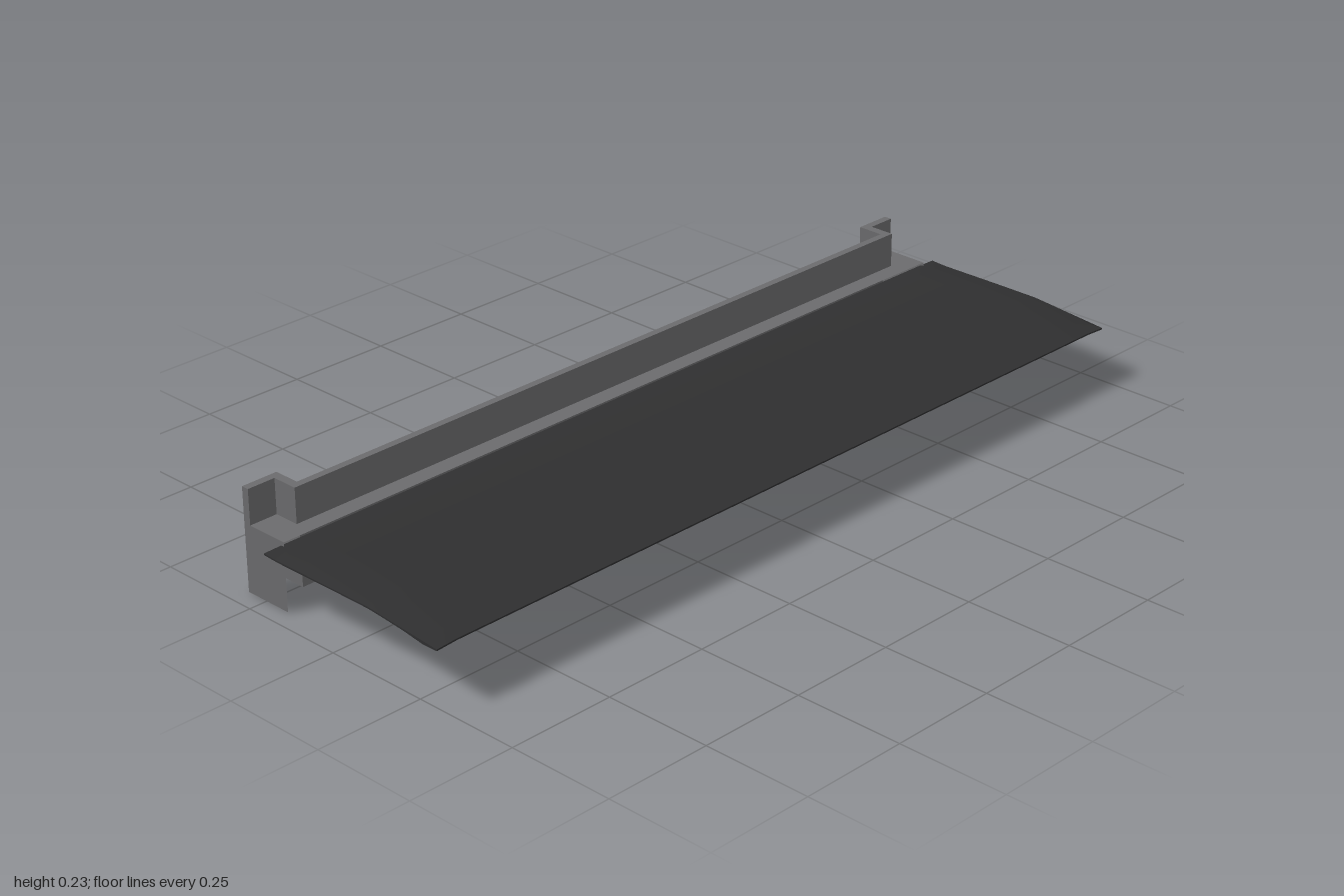
import * as THREE from 'three';
import { mergeGeometries, toCreasedNormals } from 'three/addons/utils/BufferGeometryUtils.js';

const bracketGrey = new THREE.MeshStandardMaterial({ color: 0x6b6b6d, side: THREE.DoubleSide });
bracketGrey.name = 'bracketGrey';
const panelBlack = new THREE.MeshStandardMaterial({ color: 0x2f2f30, side: THREE.DoubleSide });
panelBlack.name = 'panelBlack';

const END = 0.957, SHELF = 0.155, TOP = 0.235;

// Plan outlines as [x, z]: outer and inner faces of the stepped wall
const outer = [[-0.305, -END], [-0.305, -0.87], [-0.243, -0.87], [-0.243, 0.87], [-0.305, 0.87], [-0.305, END]];
const inner = [[-0.287, END], [-0.287, 0.89], [-0.226, 0.89], [-0.226, -0.89], [-0.287, -0.89], [-0.287, -END]];

// Upright sheet following a plan path between two heights
function wall(path, y0, y1) {
  const pos = [];
  for (let i = 0; i < path.length - 1; i++) {
    const [ax, az] = path[i], [bx, bz] = path[i + 1];
    pos.push(ax, y0, az, bx, y0, bz, bx, y1, bz, ax, y0, az, bx, y1, bz, ax, y1, az);
  }
  const geo = new THREE.BufferGeometry();
  geo.setAttribute('position', new THREE.Float32BufferAttribute(pos, 3));
  geo.computeVertexNormals();
  return geo;
}

// Level sheet with a plan outline at one height
function level(outline, y) {
  const shape = new THREE.Shape(outline.map(([x, z]) => new THREE.Vector2(x, -z)));
  return new THREE.ShapeGeometry(shape).rotateX(-Math.PI / 2).translate(0, y, 0);
}

function addMesh(parent, name, geo, material) {
  const mesh = new THREE.Mesh(geo, material);
  mesh.name = name;
  parent.add(mesh);
}

// Panel section stations: [x, top height, droop at the two ends]
const section = [
  [-0.194, 0.145, 0.001], [-0.175, 0.149, 0.006], [-0.15, 0.151, 0.009], [0, 0.152, 0.009],
  [0.11, 0.152, 0.009], [0.16, 0.148, 0.009], [0.21, 0.143, 0.009], [0.265, 0.136, 0.01], [0.302, 0.13, 0.003],
];

function droopAt(x) {
  let i = 0;
  while (i < section.length - 2 && x > section[i + 1][0]) i++;
  const [x0, , d0] = section[i], [x1, , d1] = section[i + 1];
  return THREE.MathUtils.lerp(d0, d1, (x - x0) / (x1 - x0));
}

function panelGeometry() {
  const top = section.map(([x, y]) => new THREE.Vector2(x, y));
  const bottom = section.map(([x, y]) => new THREE.Vector2(x, y - 0.0035)).reverse();
  const geo = new THREE.ExtrudeGeometry(new THREE.Shape([...top, ...bottom]),
    { depth: 2, steps: 40, bevelEnabled: false }).translate(0, 0, -1);
  // Bend the two ends down
  const p = geo.attributes.position;
  for (let i = 0; i < p.count; i++) {
    const t = Math.max(0, (Math.abs(p.getZ(i)) - 0.95) / 0.05);
    p.setY(i, p.getY(i) - t * droopAt(p.getX(i)));
  }
  return toCreasedNormals(geo, 0.5);
}

export function createModel() {
  const model = new THREE.Group();
  model.name = 'shelfPanelOnBracket';

  const bracket = new THREE.Group();
  bracket.name = 'bracket';
  model.add(bracket);

  // Back wall with a step out at each end, and the raised lip on it
  addMesh(bracket, 'backWall', wall(outer, 0, TOP), bracketGrey);
  addMesh(bracket, 'lipInnerWall', wall(inner, SHELF, TOP), bracketGrey);
  addMesh(bracket, 'lipTop', level([...outer, ...inner], TOP), bracketGrey);
  addMesh(bracket, 'ledge', level([...inner, [-0.185, -END], [-0.185, END]], SHELF), bracketGrey);

  // End plates, taller where they close the lip
  for (const s of [-1, 1]) {
    const run = (x0, x1) => (s < 0 ? [[x1, -END], [x0, -END]] : [[x0, END], [x1, END]]);
    const plate = mergeGeometries([
      wall(run(-0.305, -0.185), 0, SHELF),
      wall(run(-0.305, -0.287), SHELF, TOP),
    ]);
    addMesh(bracket, s < 0 ? 'backEndPlate' : 'frontEndPlate', plate, bracketGrey);
  }

  // Thin curved panel
  addMesh(model, 'panel', panelGeometry(), panelBlack);
  return model;
}
